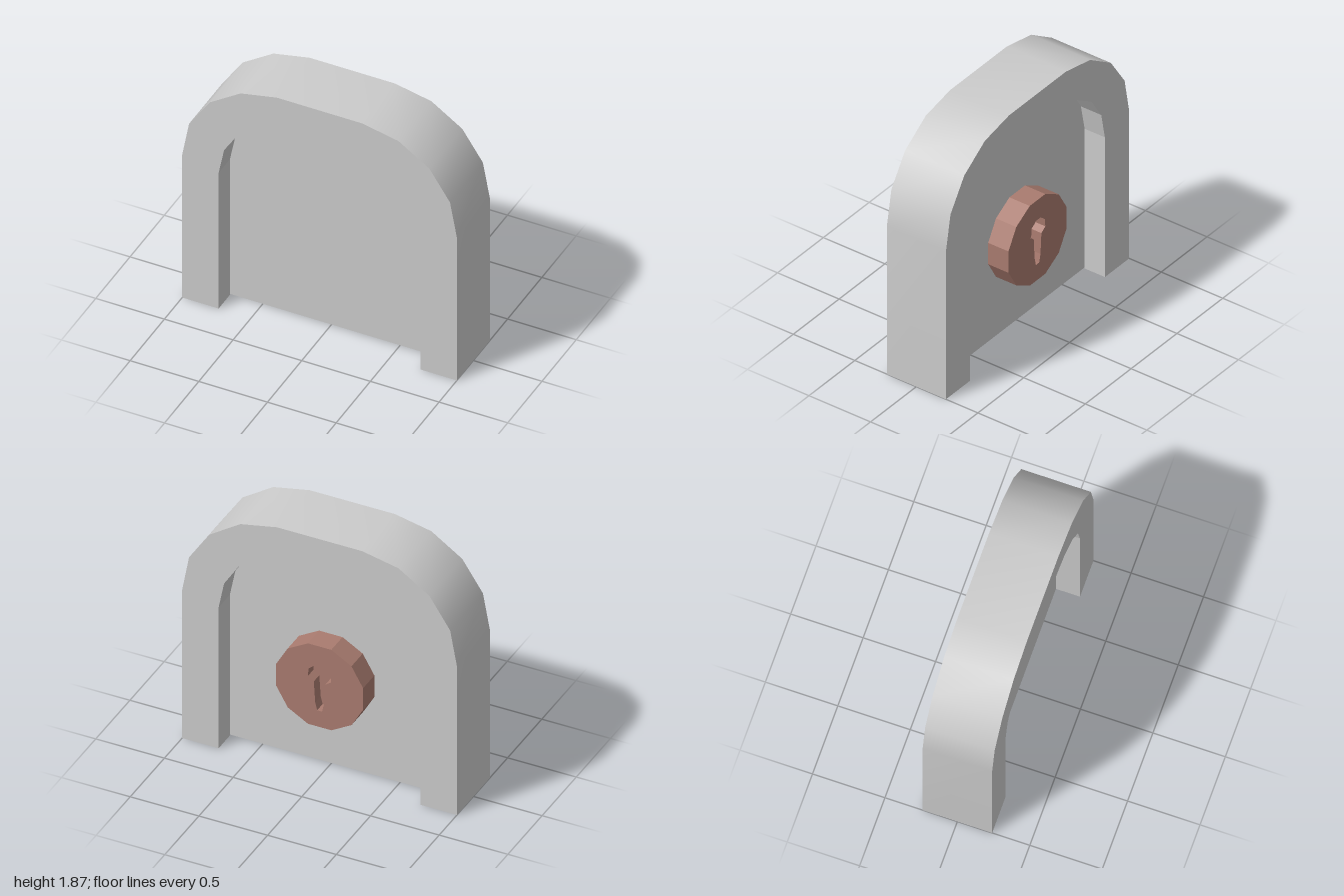
import * as THREE from 'three';

const HALF = 0.24;    // half depth of the frame
const PANEL = 0.075;  // half thickness of the door panel
const GREY = 0xcccccc, BROWN = 0xa97b6f;

// Mirror the +x half of an arch into one line running over the top
const arch = half => [...half, ...half.map(([x, y]) => [-x, y]).reverse()];
const OUTER = arch([[1, 0], [1, 1.17], [0.95, 1.44], [0.8, 1.665], [0.575, 1.815], [0.31, 1.87]]);
const INNER = arch([[0.735, 0], [0.735, 1.11], [0.695, 1.31], [0.59, 1.475], [0.425, 1.58], [0.24, 1.62]]);

function part(name, geometry, color, flatShading = true) {
  const material = new THREE.MeshStandardMaterial({ color, flatShading, side: THREE.DoubleSide });
  const mesh = new THREE.Mesh(geometry, material);
  mesh.name = name;
  return mesh;
}

// Surface between two lines of equal length, each at its own depth
function strip(lineA, zA, lineB, zB) {
  const position = [], index = [];
  lineA.forEach(([x, y], i) => {
    position.push(x, y, zA, lineB[i][0], lineB[i][1], zB);
    if (i) {
      const a = 2 * (i - 1);
      index.push(a, a + 2, a + 1, a + 2, a + 3, a + 1);
    }
  });
  const g = new THREE.BufferGeometry();
  g.setAttribute('position', new THREE.Float32BufferAttribute(position, 3));
  g.setIndex(index);
  g.computeVertexNormals();
  return g;
}

const toShape = points => new THREE.Shape(points.map(([x, y]) => new THREE.Vector2(x, y)));

// Slab from z = 0 to z = depth
const slab = (shape, depth) => new THREE.ExtrudeGeometry(shape, { depth, bevelEnabled: false });

function createLock() {
  const lock = new THREE.Group();
  lock.name = 'lock';
  const R = 0.328, depth = HALF - PANEL, sunk = 0.08;

  // Twelve-sided disc with flat edges at the sides
  const rim = [];
  for (let i = 0; i < 12; i++) {
    const a = (i + 0.5) * Math.PI / 6;
    rim.push([R * Math.cos(a), R * Math.sin(a)]);
  }

  // Keyhole: faceted round top with a tapering slot
  const keyhole = arch([[0.018, -0.19], [0.032, -0.13], [0.042, 0.03], [0.085, 0.06],
    [0.08, 0.12], [0.035, 0.16]]);
  const face = toShape(rim);
  face.holes.push(new THREE.Path(keyhole.map(([x, y]) => new THREE.Vector2(x, y))));

  const base = part('lockBase', slab(toShape(rim), depth - sunk), BROWN);
  base.position.z = -HALF + sunk;
  const plate = part('keyholePlate', slab(face, sunk), BROWN);
  plate.position.z = -HALF;
  lock.add(base, plate);
  lock.position.y = 0.707;
  return lock;
}

export function createModel() {
  const model = new THREE.Group();
  model.name = 'archedDoor';

  // Hollow frame, open underneath
  const frame = new THREE.Group();
  frame.name = 'frame';
  frame.add(
    part('frameOuterWall', strip(OUTER, -HALF, OUTER, HALF), GREY, false),
    part('frameFront', strip(OUTER, HALF, INNER, HALF), GREY),
    part('frameBack', strip(INNER, -HALF, OUTER, -HALF), GREY),
    part('frontReveal', strip(INNER, HALF, INNER, PANEL), GREY),
    part('backReveal', strip(INNER, -PANEL, INNER, -HALF), GREY)
  );

  // Door panel set midway in the frame
  const panel = part('panel', slab(toShape(INNER.map(([x, y]) => [x, Math.max(y, 0.008)])), 2 * PANEL), GREY);
  panel.position.z = -PANEL;

  model.add(frame, panel, createLock());
  return model;
}
